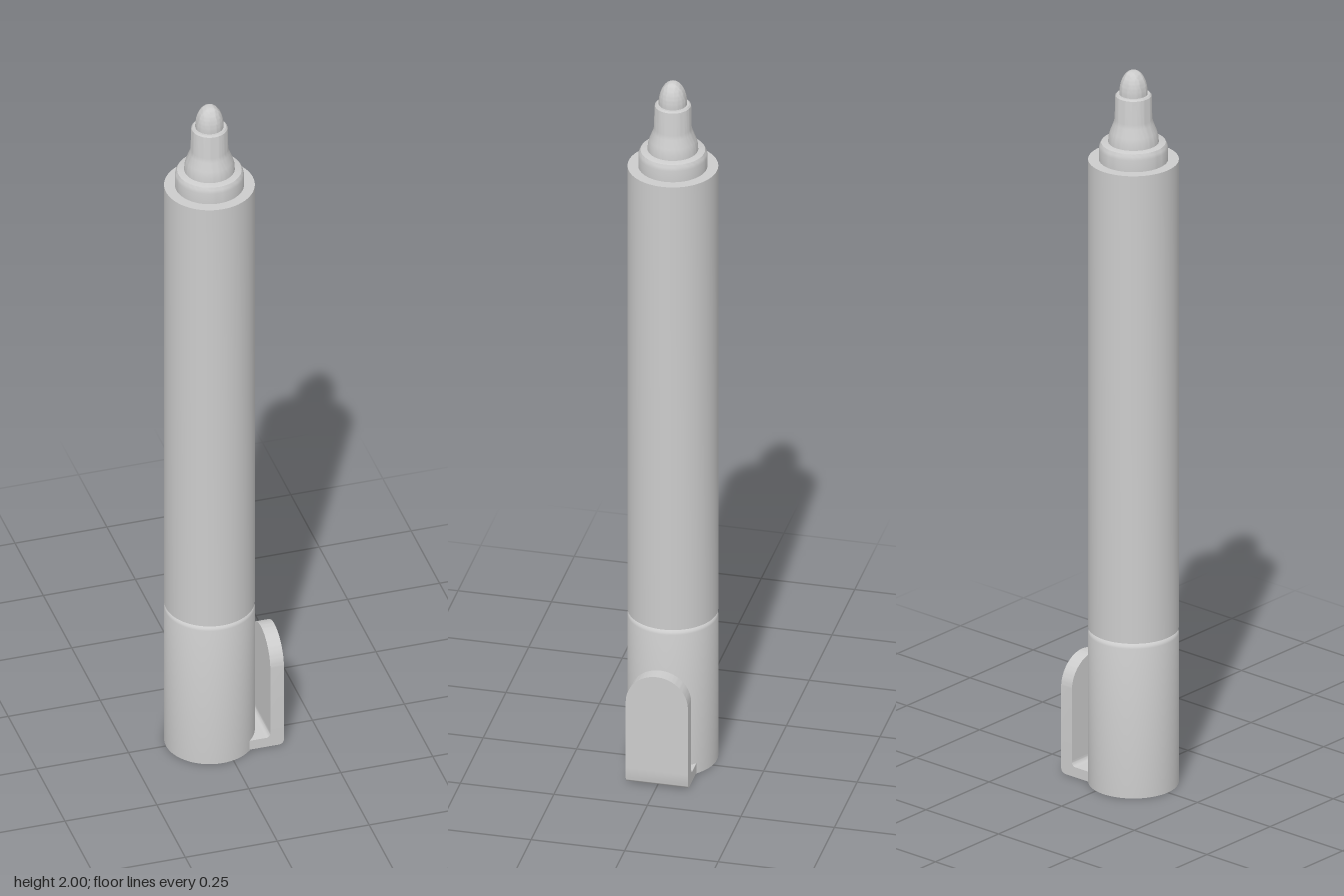
import * as THREE from 'three';
import { toCreasedNormals } from 'three/addons/utils/BufferGeometryUtils.js';

const AXIS_X = -0.03; // barrel axis, offset to balance the clip
const R = 0.118;
const material = new THREE.MeshStandardMaterial({ color: 0xcccccc });

function addMesh(group, name, geometry) {
  const mesh = new THREE.Mesh(toCreasedNormals(geometry, 0.5), material);
  mesh.name = name;
  group.add(mesh);
  return mesh;
}

// Turned part from [radius, height] pairs, listed bottom to top
function turned(group, name, profile) {
  const points = profile.map(([r, y]) => new THREE.Vector2(r, y));
  const mesh = addMesh(group, name, new THREE.LatheGeometry(points, 64));
  mesh.position.x = AXIS_X;
}

function createClip() {
  const clip = new THREE.Group();
  clip.name = 'clip';
  const inner = 0.11, outer = 0.147, half = 0.083, seam = 0.045, top = 0.325;

  // Foot joining cap and clip: rounded outer corner, small inner fillet
  const foot = new THREE.Shape();
  foot.moveTo(0.03, 0.002);
  foot.lineTo(outer - 0.016, 0.002);
  foot.quadraticCurveTo(outer, 0.002, outer, 0.018);
  foot.lineTo(outer, seam);
  foot.lineTo(inner, seam);
  foot.quadraticCurveTo(inner, 0.03, inner - 0.012, 0.03);
  foot.lineTo(0.03, 0.03);
  foot.closePath();
  const footGeometry = new THREE.ExtrudeGeometry(foot, { depth: half * 2, bevelEnabled: false, curveSegments: 8 });
  footGeometry.translate(0, 0, -half);
  addMesh(clip, 'clipFoot', footGeometry);

  // Upright plate with a round top
  const plate = new THREE.Shape();
  plate.moveTo(-half, seam);
  plate.lineTo(half, seam);
  plate.lineTo(half, top - half);
  plate.absarc(0, top - half, half, 0, Math.PI, false);
  plate.closePath();
  const plateGeometry = new THREE.ExtrudeGeometry(plate, { depth: outer - inner, bevelEnabled: false, curveSegments: 24 });
  plateGeometry.rotateY(Math.PI / 2);
  plateGeometry.translate(inner, 0, 0);
  addMesh(clip, 'clipPlate', plateGeometry);
  return clip;
}

export function createModel() {
  const pen = new THREE.Group();
  pen.name = 'markerPen';

  turned(pen, 'cap', [
    [0, 0], [R, 0], [R, 0.42], [R - 0.002, 0.426], [R - 0.007, 0.431], [R - 0.013, 0.433], [0, 0.433],
  ]);
  turned(pen, 'barrel', [[0, 0.435], [R, 0.435], [R, 1.75], [0, 1.75]]);
  turned(pen, 'collar', [
    [0.09, 1.75], [0.09, 1.782], [0.088, 1.791], [0.084, 1.798], [0.079, 1.8], [0, 1.8],
  ]);
  turned(pen, 'nibHolder', [
    [0.066, 1.8], [0.065, 1.815], [0.061, 1.83], [0.052, 1.853], [0.049, 1.865],
    [0.048, 1.925], [0.047, 1.93], [0.043, 1.934], [0, 1.934],
  ]);

  // Bullet nib with an elliptical dome
  const nib = [[0.037, 1.93]];
  for (let i = 0; i <= 16; i++) {
    const a = (i / 16) * Math.PI / 2;
    nib.push([0.037 * Math.cos(a), 1.938 + 0.062 * Math.sin(a)]);
  }
  nib[nib.length - 1][0] = 0;
  turned(pen, 'nib', nib);

  pen.add(createClip());
  return pen;
}
